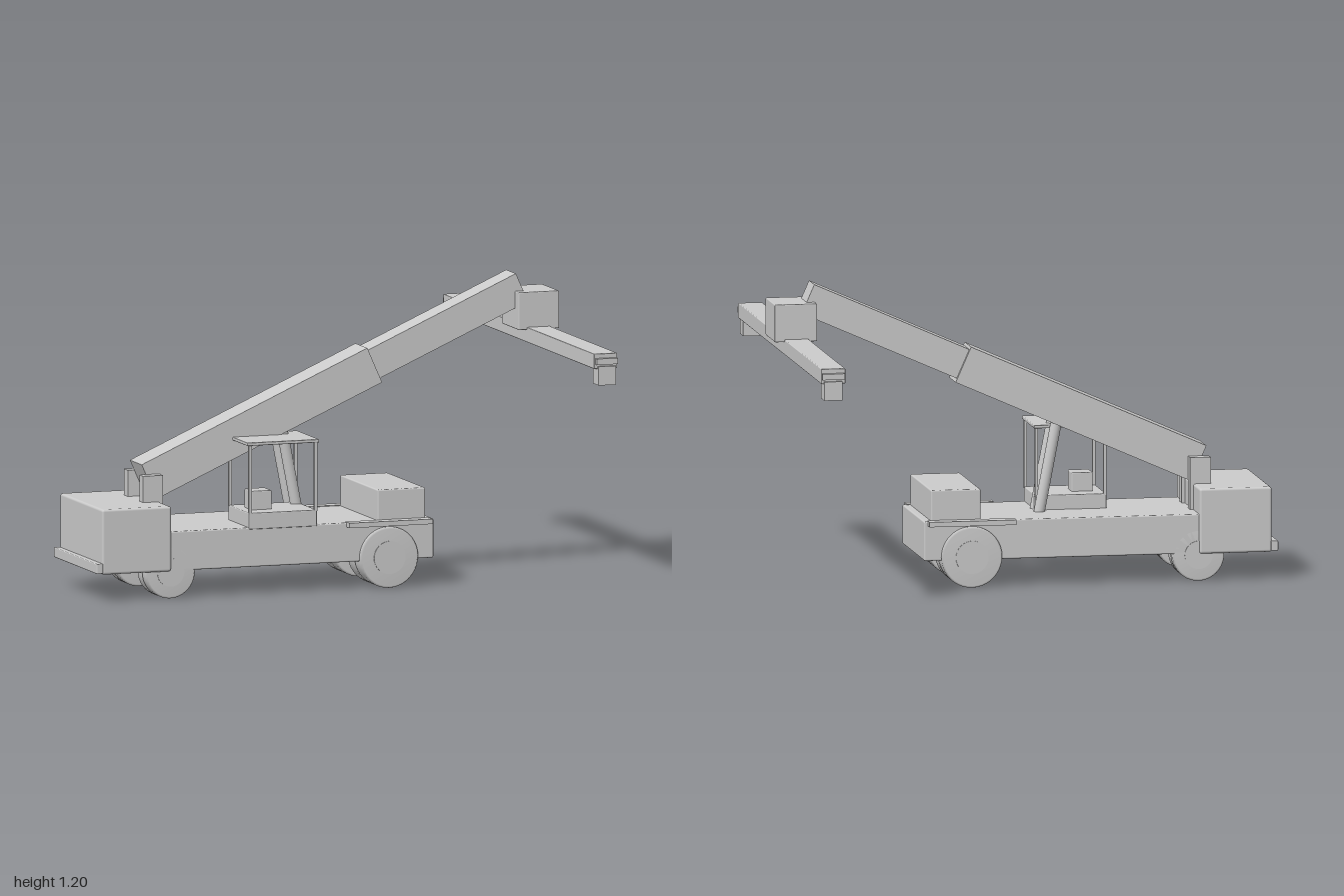
import * as THREE from 'three';
import { RoundedBoxGeometry } from 'three/addons/geometries/RoundedBoxGeometry.js';

const material = new THREE.MeshStandardMaterial({ color: 0xcccccc });

export function createModel() {
  const model = new THREE.Group();

  const add = (name, geometry, x, y, z) => {
    const mesh = new THREE.Mesh(geometry, material);
    mesh.name = name;
    mesh.position.set(x, y, z);
    model.add(mesh);
    return mesh;
  };
  // Box given by its limits on each axis, with optional rounded edges
  const box = (name, [x0, x1], [y0, y1], [z0, z1], r = 0) => {
    const size = [x1 - x0, y1 - y0, z1 - z0];
    const geometry = r ? new RoundedBoxGeometry(...size, 2, r) : new THREE.BoxGeometry(...size);
    return add(name, geometry, (x0 + x1) / 2, (y0 + y1) / 2, (z0 + z1) / 2);
  };

  // Body
  box('chassis', [-0.7, 0.42], [0.11, 0.267], [-0.235, 0.235], 0.006);
  box('counterweight', [-0.975, -0.685], [0.11, 0.37], [-0.25, 0.25], 0.01);
  box('rearBumper', [-1, -0.972], [0.115, 0.155], [-0.255, 0.255], 0.004);
  box('engineCover', [0.19, 0.39], [0.26, 0.39], [-0.222, 0.222], 0.006);

  // Wheels: paired tyres with a hub on the outer face
  const wheel = (name, x, radius, inner, outer, s) => {
    const half = (outer - inner) / 2;
    const bevel = 0.008;
    const profile = [[0, -half / 2], [radius - bevel, -half / 2], [radius, -half / 2 + bevel],
      [radius, half / 2 - bevel], [radius - bevel, half / 2], [0, half / 2]]
      .map(([r, h]) => new THREE.Vector2(r, h));
    for (const z of [inner + half / 2, outer - half / 2]) {
      const tyre = new THREE.LatheGeometry(profile, 40).rotateX(Math.PI / 2);
      add(name + 'Tyre', tyre, x, radius, s * z);
    }
    const hub = new THREE.CylinderGeometry(radius * 0.54, radius * 0.54, 0.006, 32).rotateX(Math.PI / 2);
    add(name + 'Hub', hub, x, radius, s * outer);
  };

  // Parts mirrored on both sides
  for (const s of [1, -1]) {
    const side = (a, b) => (s > 0 ? [a, b] : [-b, -a]);
    wheel('frontWheel', 0.23, 0.122, 0.09, 0.25, s);
    wheel('rearWheel', -0.683, 0.104, 0.13, 0.235, s);
    box('fender', [0.055, 0.405], [0.25, 0.27], side(0.22, 0.27));
    box('boomBracket', [-0.755, -0.672], [0.26, 0.475], side(0.068, 0.113));
    box('spreaderEnd', [0.865, 0.955], [0.948, 0.972], side(0.88, 0.905));
    box('twistlockBlock', [0.875, 0.947], [0.865, 0.94], side(0.83, 0.9));

    // Lift ram between chassis and boom
    const ram = add('liftRam', new THREE.CylinderGeometry(0.022, 0.022, 0.38, 20), -0.112, 0.44, s * 0.042);
    ram.rotation.z = 0.19;
  }

  // Telescopic boom
  const tilt = 0.418;
  const outer = add('boomOuter', new THREE.BoxGeometry(1.035, 0.153, 0.14), -0.2415, 0.655, 0);
  const inner = add('boomInner', new THREE.BoxGeometry(0.75, 0.125, 0.114), 0.511, 0.991, 0);
  outer.rotation.z = inner.rotation.z = tilt;

  // Boom head and container spreader
  box('boomHead', [0.825, 0.995], [0.98, 1.13], [-0.1, 0.1], 0.004);
  box('spreaderBeam', [0.86, 0.957], [0.93, 0.99], [-0.887, 0.887], 0.003);

  // Open operator cab
  box('cabBase', [-0.355, -0.07], [0.26, 0.325], [-0.01, 0.238], 0.004);
  box('cabRoof', [-0.364, -0.062], [0.594, 0.607], [-0.018, 0.242], 0.003);
  box('seat', [-0.315, -0.23], [0.32, 0.4], [0.07, 0.155], 0.004);
  for (const x of [-0.355, -0.08]) {
    for (const z of [-0.01, 0.226]) box('cabPost', [x, x + 0.012], [0.32, 0.6], [z, z + 0.012]);
  }

  return model;
}
